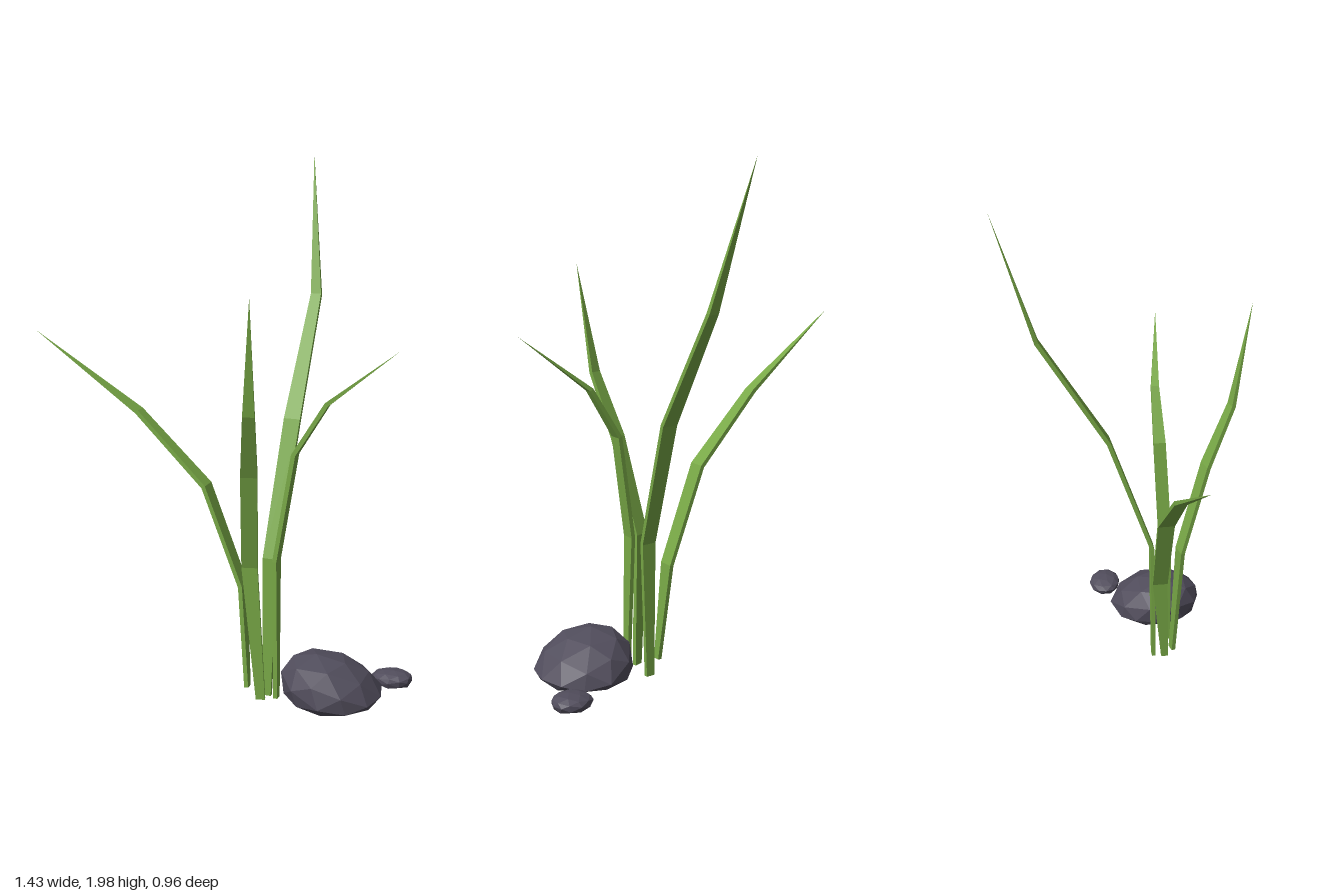
import * as THREE from 'three';
import { mergeVertices } from 'three/addons/utils/BufferGeometryUtils.js';

const leafMat = new THREE.MeshStandardMaterial({ color: 0x78a846, flatShading: true });
const rockMat = new THREE.MeshStandardMaterial({ color: 0x514d5c, flatShading: true });

// Thin tapering blade: rows of [x, y, z, half width], side = direction of its width
function blade(name, side, rows) {
  const pts = rows.map(r => new THREE.Vector3(r[0], r[1], r[2]));
  const pos = [], idx = [];
  rows.forEach((r, i) => {
    const along = pts[Math.min(i + 1, pts.length - 1)].clone().sub(pts[Math.max(i - 1, 0)]);
    const thick = r[3] > 0 ? 0.008 : 0;
    const n = along.cross(side).normalize().multiplyScalar(thick);
    for (const [s, t] of [[-1, 1], [-1, -1], [1, -1], [1, 1]]) {
      pos.push(...pts[i].clone().addScaledVector(side, s * r[3]).addScaledVector(n, t).toArray());
    }
  });
  for (let i = 0; i < rows.length - 1; i++) {
    for (let j = 0; j < 4; j++) {
      const a = i * 4 + j, b = i * 4 + (j + 1) % 4;
      idx.push(a, b, b + 4);
      if (i < rows.length - 2) idx.push(a, b + 4, a + 4);
    }
  }
  idx.push(0, 3, 2, 0, 2, 1); // root cap
  const geo = new THREE.BufferGeometry();
  geo.setAttribute('position', new THREE.Float32BufferAttribute(pos, 3));
  geo.setIndex(idx);
  geo.computeVertexNormals();
  const mesh = new THREE.Mesh(geo, leafMat);
  mesh.name = name;
  return mesh;
}

// Faceted stone: flat underside, domed top whose peak leans by (leanX, leanZ)
function rock(name, center, rx, rz, top, bottom, leanX, leanZ) {
  let geo = new THREE.IcosahedronGeometry(1, 1);
  geo.deleteAttribute('normal');
  geo.deleteAttribute('uv');
  geo = mergeVertices(geo, 1e-4);
  const p = geo.attributes.position;
  for (let i = 0; i < p.count; i++) {
    const x = p.getX(i), y = p.getY(i), z = p.getZ(i);
    const up = Math.max(y, 0);
    const wobble = 1 - 0.04 * Math.abs(Math.sin(5 * x + 3 * z + 4 * y)) * (1 - Math.abs(y));
    p.setXYZ(i, x * rx * wobble + leanX * up,
      y > 0 ? y * top : Math.max(y * bottom * 1.6, -bottom),
      z * rz * wobble + leanZ * up);
  }
  geo.computeVertexNormals();
  const mesh = new THREE.Mesh(geo, rockMat);
  mesh.name = name;
  mesh.position.set(...center);
  return mesh;
}

export function createModel() {
  const group = new THREE.Group();
  group.name = 'grassAndStones';
  const X = new THREE.Vector3(1, 0, 0), Z = new THREE.Vector3(0, 0, 1);

  // Grass blades, root to tip
  group.add(
    blade('backBlade', X, [
      [0.205, 0.01, 0.11, 0.017], [0.212, 0.55, 0.1, 0.029], [0.232, 1.04, -0.07, 0.031],
      [0.235, 1.47, -0.33, 0.02], [0.17, 1.99, -0.48, 0]]),
    blade('frontBlade', new THREE.Vector3(0.97, 0, -0.24), [
      [0.208, 0.03, 0.19, 0.017], [0.17, 0.55, 0.21, 0.029], [0.203, 0.92, 0.31, 0.03],
      [0.238, 1.16, 0.41, 0.021], [0.265, 1.57, 0.48, 0]]),
    blade('rightBlade', Z, [
      [0.14, 0.05, 0.147, 0.014], [0.11, 0.44, 0.12, 0.03], [-0.035, 0.81, 0.118, 0.032],
      [-0.3, 1.07, 0.125, 0.023], [-0.71, 1.35, 0.148, 0]]),
    blade('leftBlade', Z, [
      [0.265, 0.04, 0.175, 0.014], [0.255, 0.57, 0.16, 0.026], [0.315, 0.97, 0.143, 0.024],
      [0.43, 1.16, 0.14, 0.016], [0.69, 1.37, 0.178, 0]]));

  // Stones
  group.add(
    rock('largeStone', [0.475, 0.1, 0.152], 0.187, 0.193, 0.14, 0.037, -0.055, 0.03),
    rock('smallStone', [0.645, 0.088, -0.048], 0.08, 0.067, 0.032, 0.027, 0.01, 0.01));
  return group;
}
